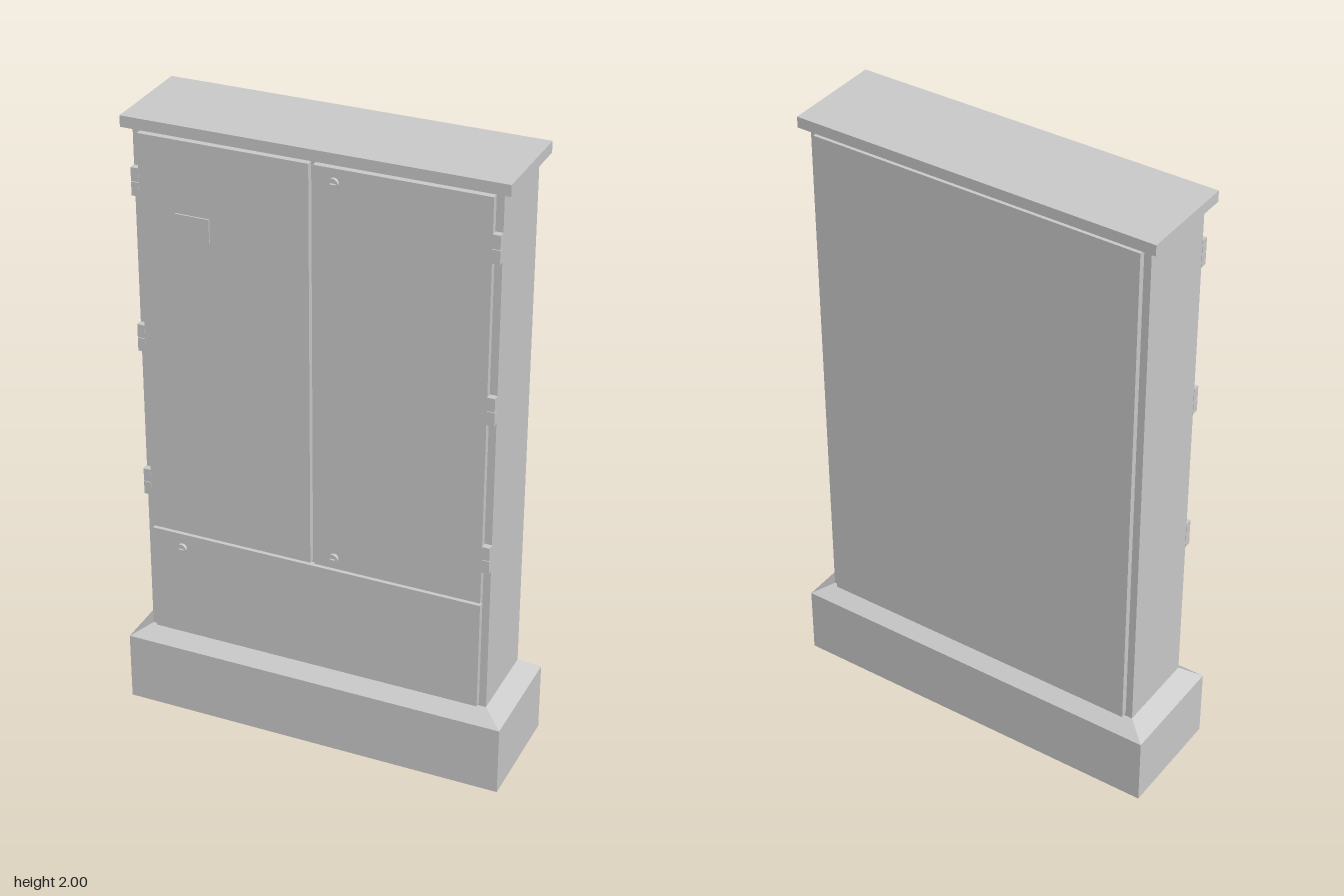
import * as THREE from 'three';

const grey = new THREE.MeshStandardMaterial({ color: 0xcccccc, flatShading: true });

export function createModel() {
  const cabinet = new THREE.Group();
  cabinet.name = 'streetCabinet';

  const add = (name, geometry, parent = cabinet) => {
    const mesh = new THREE.Mesh(geometry, grey);
    mesh.name = name;
    parent.add(mesh);
    return mesh;
  };

  // Box given by its limits on each axis
  const block = (name, [x0, x1], [y0, y1], [z0, z1], parent) =>
    add(name, new THREE.BoxGeometry(x1 - x0, y1 - y0, z1 - z0)
      .translate((x0 + x1) / 2, (y0 + y1) / 2, (z0 + z1) / 2), parent);

  const W = 0.563, D = 0.137, FRONT = 0.157;

  // Plinth with a sloped shoulder: a box whose top corners are pulled in
  block('plinth', [-0.625, 0.625], [0, 0.228], [-0.185, 0.185]);
  const shoulder = block('plinthShoulder', [-0.625, 0.625], [0.228, 0.268], [-0.185, 0.185]);
  const p = shoulder.geometry.attributes.position;
  for (let i = 0; i < p.count; i++) {
    if (p.getY(i) > 0.25) p.setXYZ(i, Math.sign(p.getX(i)) * W, p.getY(i), Math.sign(p.getZ(i)) * D);
  }
  shoulder.geometry.computeVertexNormals();

  // Housing and roof
  block('housing', [-W, W], [0.268, 1.966], [-D, D]);
  block('roof', [-0.59, 0.59], [1.965, 2], [-0.162, 0.162]);

  // Doors, lower cover and back panel
  block('rightDoor', [-0.54, -0.007], [0.648, 1.953], [D, FRONT]);
  block('leftDoor', [0.007, 0.54], [0.648, 1.953], [D, FRONT]);
  block('lowerCover', [-0.54, 0.54], [0.277, 0.639], [D, FRONT]);
  block('backPanel', [-0.54, 0.54], [0.277, 1.953], [-FRONT, -D]);
  block('signPlate', [-0.425, -0.317], [1.652, 1.726], [FRONT, 0.162]);

  // Hinges: two stacked knuckles at three heights on both sides
  for (const side of [-1, 1]) {
    for (const y of [0.801, 1.296, 1.8]) {
      const hinge = new THREE.Group();
      hinge.name = 'hinge';
      hinge.position.set(side * 0.552, y, 0.147);
      for (const half of [-1, 1]) {
        const y0 = half < 0 ? -0.044 : 0.001;
        block('hingeKnuckle', [-0.012, 0.012], [y0, y0 + 0.043], [-0.011, 0.011], hinge);
      }
      cabinet.add(hinge);
    }
  }

  // Locks: short round barrels with a key slot
  const face = new THREE.Shape().absarc(0, 0, 0.016, 0, Math.PI * 2);
  const slot = new THREE.Path();
  slot.moveTo(-0.009, -0.002).lineTo(-0.009, 0.002).lineTo(0.009, 0.002).lineTo(0.009, -0.002).closePath();
  face.holes.push(slot);
  const lockGeometry = new THREE.ExtrudeGeometry(face, { depth: 0.01, bevelEnabled: false, curveSegments: 16 });
  for (const [x, y] of [[0.07, 1.91], [0.07, 0.685], [-0.44, 0.59]]) {
    add('lock', lockGeometry).position.set(x, y, FRONT);
  }

  return cabinet;
}
